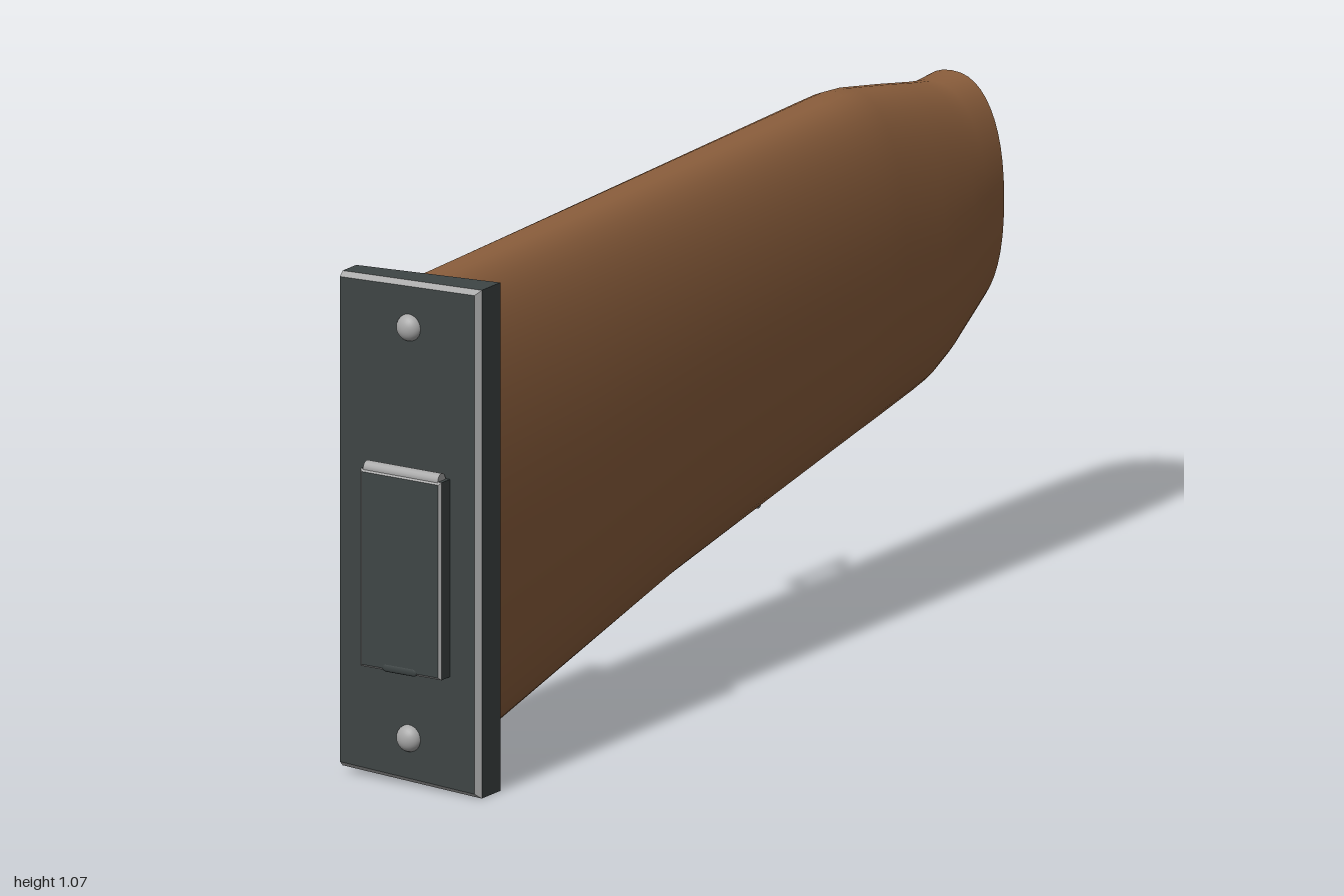
import * as THREE from 'three';

const mat = (name, color) => {
  const m = new THREE.MeshStandardMaterial({ color });
  m.name = name;
  return m;
};

// Superellipse ring: counter-clockwise as seen from +z
function oval({ z, bottom, top, left, right }, n = 48, power = 2.3) {
  const cx = (left + right) / 2, cy = (bottom + top) / 2;
  const bend = v => Math.sign(v) * Math.pow(Math.abs(v), 2 / power);
  return Array.from({ length: n }, (_, i) => {
    const t = (i / n) * Math.PI * 2;
    return [cx + (right - left) / 2 * bend(Math.cos(t)), cy + (top - bottom) / 2 * bend(Math.sin(t)), z];
  });
}

// Smooth closed loft through rings ordered by rising z, with flat end caps
function loft(rings) {
  const n = rings[0].length, pos = rings.flat(2), index = [];
  for (let r = 0; r < rings.length - 1; r++) {
    for (let i = 0; i < n; i++) {
      const j = (i + 1) % n, a = r * n + i, b = r * n + j;
      index.push(a, b, b + n, a, b + n, a + n);
    }
  }
  for (const [ring, front] of [[rings[0], false], [rings[rings.length - 1], true]]) {
    const base = pos.length / 3;
    pos.push(...ring.flat());
    for (let i = 1; i < n - 1; i++) index.push(base, base + (front ? i : i + 1), base + (front ? i + 1 : i));
  }
  const g = new THREE.BufferGeometry();
  g.setAttribute('position', new THREE.Float32BufferAttribute(pos, 3));
  g.setIndex(index);
  g.computeVertexNormals();
  return g;
}

// Hard-edged four-sided slab: group 0 is the body, group 1 the bevel round the front
function bevelledSlab(back, shoulder, face) {
  const pos = [];
  const quad = (a, b, c, d) => pos.push(...a, ...b, ...c, ...a, ...c, ...d);
  const band = (p, q) => {
    for (let i = 0; i < 4; i++) quad(p[i], p[(i + 1) % 4], q[(i + 1) % 4], q[i]);
  };
  quad(back[3], back[2], back[1], back[0]);
  quad(...face);
  band(back, shoulder);
  const bodyCount = pos.length / 3;
  band(shoulder, face);
  const g = new THREE.BufferGeometry();
  g.setAttribute('position', new THREE.Float32BufferAttribute(pos, 3));
  g.addGroup(0, bodyCount, 0);
  g.addGroup(bodyCount, pos.length / 3 - bodyCount, 1);
  g.computeVertexNormals();
  return g;
}

export function createModel() {
  const wood = mat('brown wood', 0x8b5e3c);
  const dark = mat('dark steel', 0x3e4545);
  const bright = mat('bright steel', 0xa8a8a8);
  const steel = mat('grey steel', 0x707474);
  const model = new THREE.Group();
  const add = (name, geometry, material, parent = model) => {
    const m = new THREE.Mesh(geometry, material);
    m.name = name;
    parent.add(m);
    return m;
  };

  // Wooden stock: z, bottom, top, left edge, right edge
  const sections = [
    [-1, 0.52, 1.015, -0.118, 0.13],
    [-0.93, 0.473, 1.01, -0.125, 0.135],
    [-0.88, 0.438, 1.018, -0.128, 0.138],
    [-0.82, 0.408, 1.03, -0.13, 0.14],
    [-0.77, 0.396, 1.04, -0.131, 0.141],
    [-0.63, 0.367, 1.066, -0.131, 0.142],
    [-0.57, 0.355, 1.071, -0.132, 0.142],
    [-0.5, 0.341, 1.07, -0.132, 0.142],
    [0.08, 0.225, 1.057, -0.134, 0.145],
    [0.5, 0.12, 1.048, -0.136, 0.148],
    [0.895, 0.02, 1.04, -0.138, 0.15],
  ].map(([z, bottom, top, left, right]) => oval({ z, bottom, top, left, right }));
  add('stock', loft(sections), wood);

  // Butt plate, slightly larger toward +x, bevelled on all but the -x edge
  const plateRing = (zLeft, zRight, inset) => [
    [-0.162, 0.014 + inset, zLeft], [0.175 - inset, inset, zRight],
    [0.175 - inset, 1.052 - inset, zRight], [-0.162, 1.038 - inset, zLeft],
  ];
  add('buttPlate', bevelledSlab(
    plateRing(0.898, 0.888, 0), plateRing(0.947, 0.955, 0), plateRing(0.957, 0.966, 0.01)), [dark, bright]);

  // Plate screws
  for (const y of [0.1, 0.95]) {
    const dome = new THREE.SphereGeometry(0.028, 24, 8, 0, Math.PI * 2, 0, Math.PI / 2);
    dome.rotateX(Math.PI / 2);
    dome.scale(1, 1, 0.8);
    add('plateScrew', dome, bright).position.set(0.006, y, 0.96);
  }

  // Compartment door with hinge and thumb notch
  const door = new THREE.Group();
  door.name = 'compartmentDoor';
  model.add(door);
  const doorRing = (z, inset) => [
    [-0.088 + inset, 0.243 + inset, z], [0.105 - inset, 0.243 + inset, z],
    [0.105 - inset, 0.652 - inset, z], [-0.088 + inset, 0.652 - inset, z],
  ];
  add('doorPanel', bevelledSlab(doorRing(0.955, 0), doorRing(0.994, 0), doorRing(0.999, 0.005)), [dark, bright], door);
  const hinge = new THREE.CylinderGeometry(0.014, 0.014, 0.178, 16);
  hinge.rotateZ(Math.PI / 2);
  add('doorHinge', hinge, bright, door).position.set(0.008, 0.653, 0.982);
  const notch = new THREE.CapsuleGeometry(0.009, 0.066, 4, 12);
  notch.rotateZ(Math.PI / 2);
  notch.scale(1, 1, 0.4);
  add('thumbNotch', notch, dark, door).position.set(0.007, 0.25, 0.9965);

  // Sling loop: a half ring with two posts pointing toward the stock
  const loop = new THREE.Group();
  loop.name = 'slingLoop';
  loop.position.set(-0.17, 0.307, -0.507);
  model.add(loop);
  const bow = new THREE.TorusGeometry(0.092, 0.011, 10, 32, Math.PI);
  bow.rotateZ(Math.PI / 2);
  bow.rotateY(-Math.PI / 2);
  add('loopBow', bow, steel, loop);
  for (const s of [-1, 1]) {
    const length = s > 0 ? 0.08 : 0.05;
    const post = new THREE.CylinderGeometry(0.011, 0.011, length, 12);
    post.rotateZ(Math.PI / 2);
    add('loopPost', post, steel, loop).position.set(length / 2 - 0.01, s * 0.092, 0);
  }
  return model;
}
